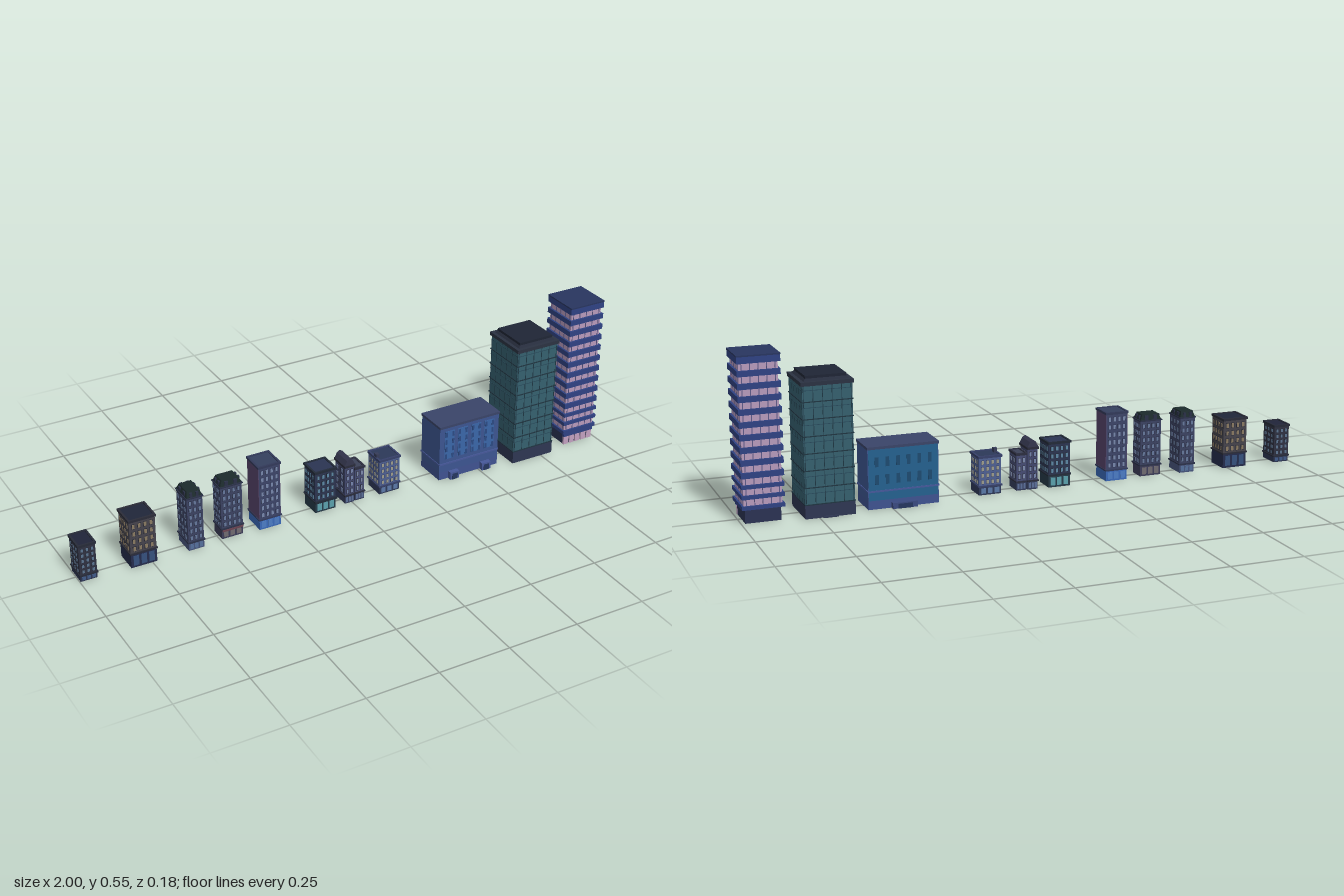
import * as THREE from 'three';
import { mergeGeometries } from 'three/addons/utils/BufferGeometryUtils.js';

const mats = {};
const mat = (c) => (mats[c] ??= new THREE.MeshStandardMaterial({ color: c }));

function add(parent, name, geo, color) {
  const m = new THREE.Mesh(geo, mat(color));
  m.name = name;
  parent.add(m);
  return m;
}

// box centred on x, z and spanning y0..y1
function boxGeo(w, y0, y1, d, x = 0, z = 0) {
  return new THREE.BoxGeometry(w, y1 - y0, d).translate(x, (y0 + y1) / 2, z);
}
const box = (p, name, c, ...a) => add(p, name, boxGeo(...a), c);

// rectangular ring of walls, open at top and bottom
function ring(p, name, c, w, y0, y1, d, t) {
  const rect = (S, a, b) => {
    const s = new S();
    s.moveTo(-a, -b); s.lineTo(a, -b); s.lineTo(a, b); s.lineTo(-a, b); s.closePath();
    return s;
  };
  const shape = rect(THREE.Shape, w / 2, d / 2);
  shape.holes.push(rect(THREE.Path, w / 2 - t, d / 2 - t));
  const g = new THREE.ExtrudeGeometry(shape, { depth: y1 - y0, bevelEnabled: false });
  return add(p, name, g.rotateX(-Math.PI / 2).translate(0, y0, 0), c);
}

// sloping roof: rectangle w x d shrinking to a fraction of itself
function hip(p, name, c, w, y0, y1, d, top) {
  const g = new THREE.CylinderGeometry(top * Math.SQRT1_2, Math.SQRT1_2, y1 - y0, 4, 1).toNonIndexed();
  g.rotateY(Math.PI / 4).scale(w, 1, d).translate(0, (y0 + y1) / 2, 0);
  g.computeVertexNormals();
  return add(p, name, g, c);
}

// grid of thin panels on chosen faces: 0 front, 1 left (+x), 2 back, 3 right
function panels(p, name, c, w, d, faces, o) {
  const geos = [];
  for (const f of faces) {
    const span = f % 2 ? d : w, out = (f % 2 ? w : d) / 2;
    const cw = span * (o.span ?? 0.9) / o.cols, rh = (o.y1 - o.y0) / o.rows;
    for (let i = 0; i < o.cols; i++) for (let j = 0; j < o.rows; j++) {
      const y = o.y0 + rh * (j + 0.5), h = rh * (o.fh ?? 0.55) / 2;
      const g = boxGeo(cw * (o.fw ?? 0.5), y - h, y + h, o.t ?? 0.003, (i - (o.cols - 1) / 2) * cw, out + (o.off ?? 0));
      geos.push(g.rotateY(f * Math.PI / 2));
    }
  }
  return add(p, name, mergeGeometries(geos), c);
}

function building(root, name, x0, x1, z0, z1) {
  const g = new THREE.Group();
  g.name = name;
  g.position.set((x0 + x1) / 2, 0, (z0 + z1) / 2);
  root.add(g);
  return [g, x1 - x0, z1 - z0];
}

// small street house: base, walls, windows with sills, shopfront and cornice
function house(root, s) {
  const [g, W, D] = building(root, s.name, ...s.at);
  const w = W - 0.006, d = D - 0.008, b = s.base, h = s.h;
  ring(g, 'base', s.baseColor, w, 0, b, d, 0.008);
  box(g, 'walls', s.wall, w, b, h, d);
  box(g, 'baseLedge', s.trim, W, b - 0.002, b + 0.003, D);
  const o = { cols: s.cols, rows: s.rows, y0: b + 0.004, y1: h - 0.008 };
  const faces = s.faces ?? [0, 1, 2, 3];
  panels(g, 'windowFrames', s.trim, w, d, faces, { ...o, fw: 0.62, fh: 0.68, t: 0.002 });
  panels(g, 'windows', s.glass, w, d, faces, { ...o, fw: 0.44, fh: 0.54, t: 0.004 });
  panels(g, 'shopWindows', s.shop, w, d, [0, 2], { cols: 3, rows: 1, y0: 0.003, y1: b - 0.004, fw: 0.7, fh: 0.8 });
  if (s.sideWall) panels(g, 'sideWalls', s.sideWall, w, d, [1, 3], { cols: 1, rows: 1, y0: b + 0.003, y1: h, span: 1, fw: 1, fh: 1, t: 0.002 });
  if (s.mansard) {
    box(g, 'cornice', s.trim, W, h - 0.004, h, D);
    hip(g, 'mansardRoof', s.roof, w, h, h + 0.02, d, 0.78);
    panels(g, 'dormers', s.trim, w - 0.006, d - 0.006, [0, 1, 2, 3], { cols: 2, rows: 1, y0: h, y1: h + 0.016, fw: 0.4, fh: 1, t: 0.006 });
  } else {
    ring(g, 'parapet', s.trim, W, h - 0.004, h + 0.004, D, 0.007);
    box(g, 'roof', s.roof, W - 0.014, h - 0.004, h + 0.001, D - 0.014);
  }
  return [g, W, D];
}

function officeBlock(root) {
  const [g, W, D] = building(root, 'officeBlock', 0.335, 0.582, -0.065, 0.06);
  const w = W - 0.004, d = D - 0.006;
  ring(g, 'base', 0x3f5290, w, 0, 0.03, d, 0.016);
  box(g, 'walls', 0x3c5590, w, 0.03, 0.205, d);
  box(g, 'roofSlab', 0x3a4468, W, 0.203, 0.212, D);
  box(g, 'floorLedge', 0x46589a, W, 0.058, 0.064, D);
  panels(g, 'frontPanels', 0x3a66a8, w, d, [0], { cols: 4, rows: 1, y0: 0.07, y1: 0.198, fw: 0.72, fh: 0.86 });
  panels(g, 'frontPanes', 0x2c4a84, w, d, [0], { cols: 8, rows: 4, y0: 0.075, y1: 0.19, fw: 0.3, fh: 0.65, t: 0.005 });
  panels(g, 'backWall', 0x24618f, w, d, [2], { cols: 1, rows: 1, y0: 0.03, y1: 0.203, span: 1, fw: 0.98, fh: 1 });
  panels(g, 'backWindows', 0x1d4a70, w, d, [2], { cols: 6, rows: 2, y0: 0.07, y1: 0.19, fw: 0.35, t: 0.005 });
  // two front porches and a wide back one
  for (const x of [-0.066, 0.066]) {
    box(g, 'frontPorch', 0x46589a, 0.036, 0, 0.028, 0.018, x, D / 2 + 0.005);
    box(g, 'frontDoor', 0x24365f, 0.022, 0, 0.022, 0.003, x, D / 2 + 0.014);
  }
  box(g, 'backPorch', 0x3a4a80, 0.085, 0, 0.02, 0.02, 0, -D / 2 - 0.005);
  box(g, 'backDoor', 0x24365f, 0.05, 0, 0.016, 0.003, 0, -D / 2 - 0.015);
}

function glassTower(root) {
  const [g, W, D] = building(root, 'glassTower', 0.628, 0.798, -0.085, 0.087);
  const w = W - 0.006, d = D - 0.006;
  ring(g, 'base', 0x2e3652, W - 0.002, 0, 0.046, D - 0.002, 0.02);
  box(g, 'walls', 0x35606e, w, 0.044, 0.44, d);
  // floor ledges and finer lines between them
  for (let i = 0; i < 7; i++) {
    const y = 0.045 + i * 0.0565;
    box(g, 'floorLedge', 0x1f3440, W, y, y + 0.003, D);
    box(g, 'floorLine', 0x27485a, w + 0.002, y + 0.038, y + 0.04, d + 0.002);
  }
  panels(g, 'mullions', 0x24404e, w, d, [0, 1, 2, 3], { cols: 6, rows: 1, y0: 0.046, y1: 0.44, span: 1.15, fw: 0.07, fh: 1 });
  ring(g, 'parapet', 0x2b3242, W + 0.004, 0.438, 0.451, D + 0.004, 0.02);
  box(g, 'roof', 0x1f2535, W - 0.03, 0.436, 0.452, D - 0.03);
  hip(g, 'roofCrown', 0x262c3c, W - 0.02, 0.451, 0.459, D - 0.02, 0.9);
  box(g, 'roofCap', 0x1f2535, W - 0.034, 0.459, 0.468, D - 0.034);
  box(g, 'backStep', 0x2e3652, 0.05, 0, 0.005, 0.01, 0, -D / 2 - 0.002);
}

function stripedTower(root) {
  const [g, W, D] = building(root, 'stripedTower', 0.858, 0.998, -0.069, 0.07);
  const w = 0.126, d = 0.125;
  box(g, 'base', 0x2b3252, w - 0.008, 0, 0.05, d - 0.01);
  panels(g, 'lobbyWindows', 0xc2a0c0, w, d, [0], { cols: 5, rows: 1, y0: 0, y1: 0.034, span: 1, fw: 0.8, fh: 1, off: -0.004, t: 0.008 });
  box(g, 'lobbyBeam', 0x2f4283, w, 0.032, 0.048, 0.012, 0, d / 2 - 0.004);
  box(g, 'walls', 0xb79abb, w, 0.047, 0.53, d);
  panels(g, 'mullions', 0x5d5a88, w, d, [0, 1, 2, 3], { cols: 5, rows: 1, y0: 0.05, y1: 0.53, span: 1.08, fw: 0.1, fh: 1 });
  // closer bands on the low floors, wider above
  const bands = [[0.047, 0.06], [0.082, 0.095], [0.116, 0.129]];
  for (let i = 0; i < 9; i++) bands.push([0.151 + i * 0.0413, 0.17 + i * 0.0413]);
  bands.push([0.523, 0.549]);
  for (const [a, b] of bands) box(g, 'floorBand', 0x2f4283, W, a, b, D);
  box(g, 'roof', 0x28355f, W + 0.002, 0.545, 0.55, D + 0.002);
}

export function createModel() {
  const root = new THREE.Group();
  root.name = 'cityRow';

  house(root, { name: 'darkHouse', at: [-1, -0.936, -0.047, 0.038], base: 0.022, h: 0.133, cols: 3, rows: 5,
    wall: 0x2f3142, baseColor: 0x2c3450, trim: 0x262a38, glass: 0x5b7490, shop: 0x3f5a88, roof: 0x20243a });

  house(root, { name: 'brownHouse', at: [-0.827, -0.73, -0.048, 0.045], base: 0.052, h: 0.176, cols: 4, rows: 4,
    wall: 0x45434c, baseColor: 0x242c4c, trim: 0x2a2c38, glass: 0x8a7a62, shop: 0x35507c, roof: 0x20263a });

  house(root, { name: 'narrowMansardHouse', at: [-0.622, -0.56, -0.045, 0.043], base: 0.03, h: 0.2, cols: 3, rows: 6,
    wall: 0x3b4262, baseColor: 0x46547c, trim: 0x2a3048, glass: 0x65789c, shop: 0x54709c, roof: 0x1c2a2c, mansard: true });

  const [shop, sw, sd] = house(root, { name: 'mansardShop', at: [-0.496, -0.412, -0.034, 0.032], base: 0.038, h: 0.2, cols: 4, rows: 6,
    wall: 0x3b4262, baseColor: 0x3c3c58, trim: 0x2a3048, glass: 0x65789c, shop: 0x6f6a70, roof: 0x1c2a2c, mansard: true });
  box(shop, 'awning', 0x6a4250, sw - 0.008, 0.03, 0.036, 0.006, 0, sd / 2);

  house(root, { name: 'blueBaseHouse', at: [-0.361, -0.276, -0.046, 0.043], base: 0.038, h: 0.24, cols: 4, rows: 7, faces: [0, 2],
    wall: 0x3c4468, baseColor: 0x3a68b8, trim: 0x323a5a, glass: 0x7686aa, shop: 0x4c7cc4, roof: 0x34405e, sideWall: 0x55446a });

  const [cafe, cw, cd] = house(root, { name: 'cornerCafe', at: [-0.148, -0.063, -0.044, 0.04], base: 0.042, h: 0.156, cols: 4, rows: 4,
    wall: 0x2b3450, baseColor: 0x263a48, trim: 0x222a38, glass: 0x5c86a4, shop: 0x5aa0ac, roof: 0x2a3452 });
  box(cafe, 'signLedge', 0x222a38, cw, 0.038, 0.046, 0.006, 0, cd / 2);

  // tall gabled half beside a lower flat half
  const [tall, tw, td] = house(root, { name: 'gabledHouse', at: [-0.03, 0.012, -0.04, 0.036], base: 0.03, h: 0.145, cols: 2, rows: 4,
    wall: 0x40466c, baseColor: 0x343c5c, trim: 0x292b3a, glass: 0x7484ac, shop: 0x5a6e98, roof: 0x26262e });
  const gable = new THREE.Shape([[-tw / 2, 0], [tw / 2, 0], [tw / 4, 0.02], [0, 0.027], [-tw / 4, 0.02]].map((a) => new THREE.Vector2(...a)));
  const roof = new THREE.ExtrudeGeometry(gable, { depth: td - 0.004, bevelEnabled: false });
  add(tall, 'gableRoof', roof.translate(0, 0.147, -td / 2 + 0.002), 0x34364e);
  house(root, { name: 'lowAnnex', at: [0.01, 0.052, -0.038, 0.034], base: 0.03, h: 0.127, cols: 2, rows: 3,
    wall: 0x454c74, baseColor: 0x343c5c, trim: 0x2c2e40, glass: 0x7c8aac, shop: 0x5a6e98, roof: 0x3c4258 });

  const [pale, pw] = house(root, { name: 'paleHouse', at: [0.104, 0.19, -0.044, 0.04], base: 0.03, h: 0.132, cols: 4, rows: 4,
    wall: 0x4e6092, baseColor: 0x2e3858, trim: 0x36406a, glass: 0x9c9c8c, shop: 0x5a78a8, roof: 0x2c3858 });
  box(pale, 'chimney', 0x363c58, 0.012, 0.132, 0.148, 0.016, -pw / 2 + 0.008, 0.01);

  officeBlock(root);
  glassTower(root);
  stripedTower(root);
  return root;
}
